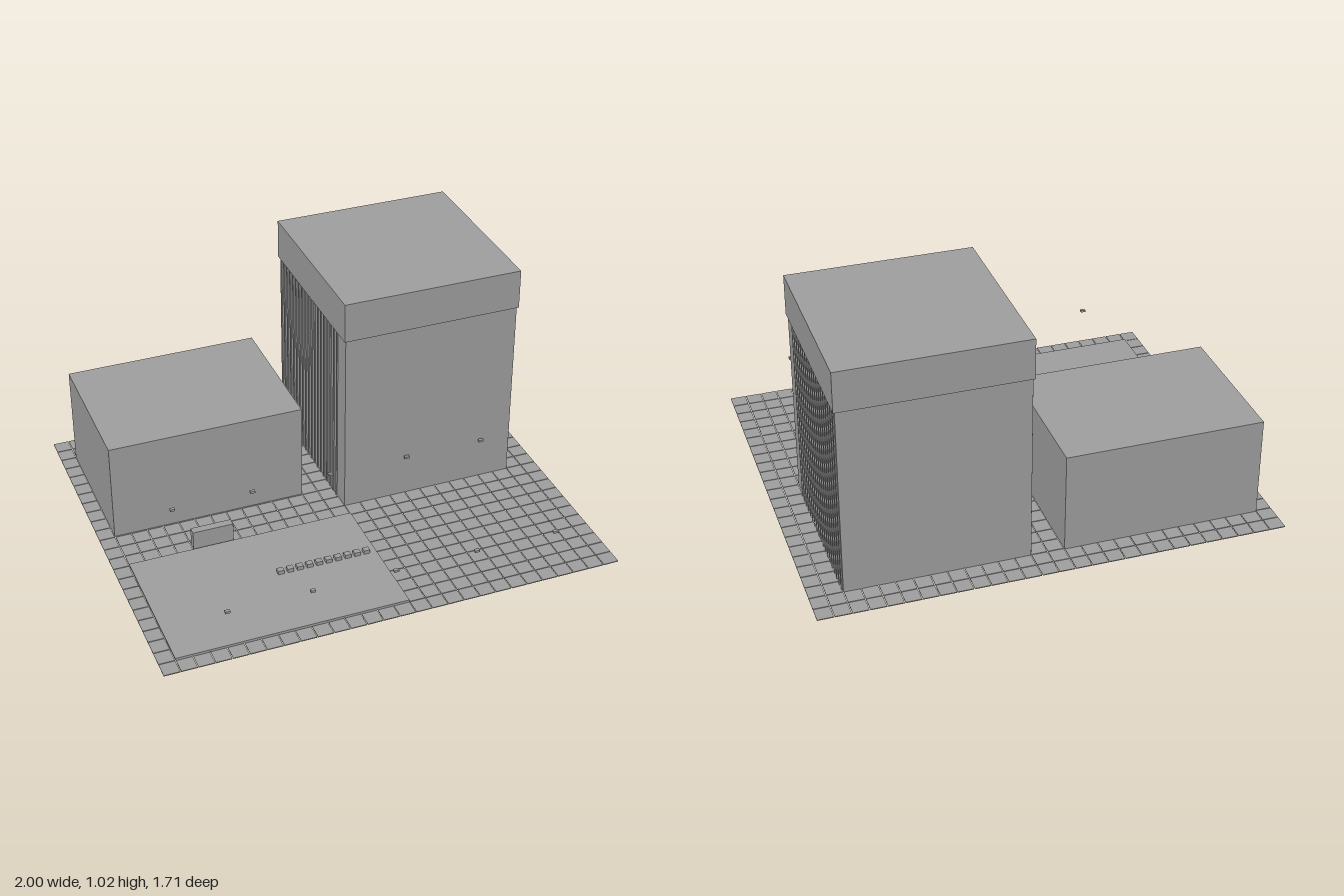
import * as THREE from 'three';
import { mergeGeometries } from 'three/addons/utils/BufferGeometryUtils.js';

const U = 1 / 14; // one paving tile

export function createModel() {
  const model = new THREE.Group();
  model.name = 'towerPlaza';
  const concrete = new THREE.MeshStandardMaterial({ color: 0xa0a0a0 });
  concrete.name = 'concreteGrey';

  // box from its minimum and maximum corners
  const boxGeo = (x0, x1, y0, y1, z0, z1) =>
    new THREE.BoxGeometry(x1 - x0, y1 - y0, z1 - z0)
      .translate((x0 + x1) / 2, (y0 + y1) / 2, (z0 + z1) / 2);

  const add = (name, geometry, parent = model) => {
    const mesh = new THREE.Mesh(geometry, concrete);
    mesh.name = name;
    parent.add(mesh);
    return mesh;
  };

  // Paving: 28 x 24 square tiles with narrow joints
  const tiles = [];
  const joint = 0.0018;
  for (let i = -14; i < 14; i++) {
    for (let j = -12; j < 12; j++) {
      tiles.push(boxGeo(i * U + joint, (i + 1) * U - joint, 0, 0.004,
        j * U + joint, (j + 1) * U - joint));
    }
  }
  add('pavingTiles', mergeGeometries(tiles));

  // Raised plaza
  add('plazaSlab', boxGeo(-0.929, 0.071, 0.004, 0.014, 0.143, 0.786));

  // Low building
  add('lowBuilding', boxGeo(-0.929, -0.071, 0.003, 0.45, -0.72, -0.077));

  // Tower with overhanging top and finned sides
  const tower = new THREE.Group();
  tower.name = 'tower';
  model.add(tower);
  add('towerBody', boxGeo(0.071, 0.857, 0.003, 0.845, -0.714, 0.073), tower);
  add('towerCrown', boxGeo(0.064, 0.864, 0.843, 1.021, -0.721, 0.079), tower);
  const fins = [];
  for (let i = 0; i < 19; i++) {
    const z = -0.018 - i * 0.0377;
    for (const x of [0.071, 0.857]) {
      fins.push(boxGeo(x - 0.005, x + 0.005, 0.003, 0.845, z - 0.0036, z + 0.0036));
    }
  }
  add('towerFins', mergeGeometries(fins), tower);

  // Upright slab at the back of the plaza
  add('signSlab', boxGeo(-0.643, -0.464, 0.004, 0.093, 0.101, 0.136));

  // Row of small blocks on the plaza
  for (let i = 0; i < 10; i++) {
    const x = -0.358 + i * 0.0428;
    add('plazaBlock', boxGeo(x - 0.0135, x + 0.0135, 0.012, 0.031, 0.414, 0.439));
  }

  // Two rows of floating lamp heads
  for (const z of [0.086, 0.804]) {
    for (let i = -2; i <= 2; i++) {
      const x = i * 0.357;
      add('lampHead', boxGeo(x - 0.0107, x + 0.0107, 0.195, 0.205, z - 0.007, z + 0.007));
    }
  }
  return model;
}
